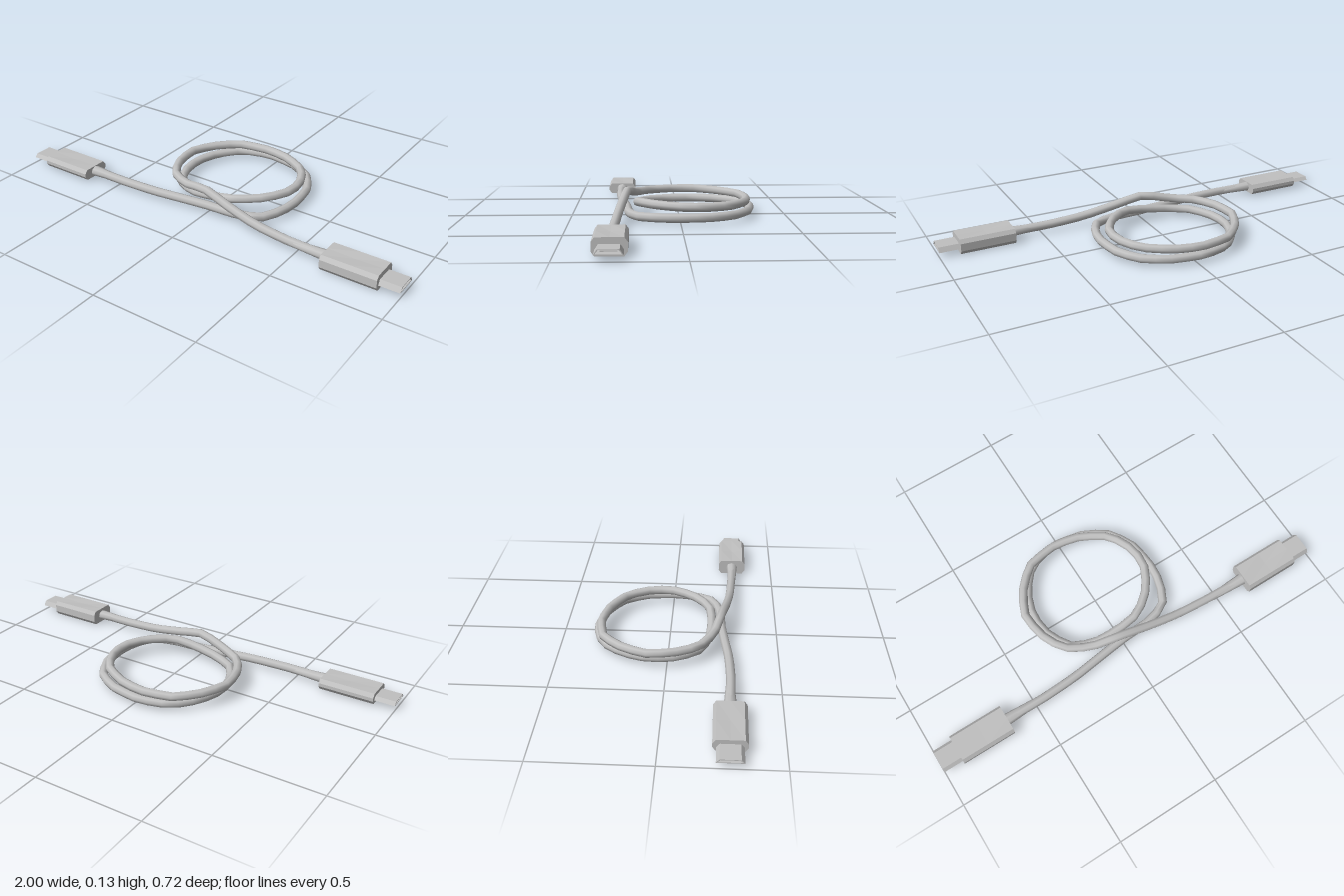
import * as THREE from 'three';

const cableGrey = new THREE.MeshStandardMaterial({ color: 0xc0c0c0 });
cableGrey.name = 'cable grey';

function add(parent, name, geometry) {
  const mesh = new THREE.Mesh(geometry, cableGrey);
  mesh.name = name;
  parent.add(mesh);
  return mesh;
}

// Chamfered grip lofted along x, with a shallow thumb dip halfway
function housingGeometry(length, height, width) {
  const h = height / 2, w = width / 2, cy = 0.018, cz = 0.013;
  const stations = [0, 0.5, 1];
  const section = [
    [h, 0], [h, w - cz], [h - cy, w], [cy - h, w], [-h, w - cz],
    [-h, 0], [-h, cz - w], [cy - h, -w], [h - cy, -w], [h, cz - w],
  ];
  const n = section.length, pos = [], index = [];
  stations.forEach((s) => section.forEach(([y, z]) => {
    const dip = s === 0.5 && z === 0 ? 0.9 : 1;
    pos.push(s * length, y * dip, z);
  }));
  for (let s = 0; s < stations.length - 1; s++) {
    for (let i = 0; i < n; i++) {
      const a = s * n + i, b = s * n + (i + 1) % n;
      index.push(a, b, a + n, b, b + n, a + n);
    }
  }
  // End caps
  const last = (stations.length - 1) * n;
  for (let i = 1; i < n - 1; i++) {
    index.push(0, i + 1, i, last, last + i, last + i + 1);
  }
  // Wind every face outwards from the middle
  const v = (i) => new THREE.Vector3().fromArray(pos, i * 3);
  const mid = new THREE.Vector3(length / 2, 0, 0);
  for (let i = 0; i < index.length; i += 3) {
    const [a, b, d] = [v(index[i]), v(index[i + 1]), v(index[i + 2])];
    const normal = b.clone().sub(a).cross(d.clone().sub(a));
    if (normal.dot(a.sub(mid)) < 0) [index[i + 1], index[i + 2]] = [index[i + 2], index[i + 1]];
  }
  const geo = new THREE.BufferGeometry();
  geo.setAttribute('position', new THREE.Float32BufferAttribute(pos, 3));
  geo.setIndex(index);
  const flat = geo.toNonIndexed();
  flat.computeVertexNormals();
  return flat;
}

function trapezoid(target, bottom, top, low, high) {
  target.moveTo(-bottom, low);
  target.lineTo(bottom, low);
  target.lineTo(top, high);
  target.lineTo(-top, high);
  target.closePath();
  return target;
}

// Plug pointing along +x, its cable entry at the origin
function createPlug(name, height, width, tip) {
  const plug = new THREE.Group();
  plug.name = name;
  add(plug, 'housing', housingGeometry(0.26, height, width));

  // Hollow metal tip
  const shape = trapezoid(new THREE.Shape(), 0.055, 0.041, -tip, tip);
  shape.holes.push(trapezoid(new THREE.Path(), 0.05, 0.037, 0.003 - tip, tip - 0.003));
  const shell = new THREE.ExtrudeGeometry(shape, { depth: 0.1, bevelEnabled: false });
  shell.rotateY(Math.PI / 2);
  add(plug, 'connectorShell', shell).position.x = 0.255;
  add(plug, 'connectorTongue', new THREE.BoxGeometry(0.075, 0.005, 0.064)).position.x = 0.295;

  // Flared strain relief
  const relief = new THREE.CylinderGeometry(0.017, 0.028, 0.18, 8, 1, true);
  relief.rotateZ(Math.PI / 2);
  relief.scale(1, 0.85, 1);
  add(plug, 'strainRelief', relief).position.x = -0.085;
  return plug;
}

// Cable centre line
const leftTail = [
  [-0.65, 0.035, 0.28], [-0.45, 0.036, 0.283], [-0.28, 0.036, 0.275], [-0.13, 0.036, 0.256],
];
const lowerLoop = [
  [0, 0.036, 0.24], [0.14, 0.036, 0.232], [0.25, 0.036, 0.2], [0.302, 0.036, 0.1],
  [0.315, 0.036, 0], [0.3, 0.036, -0.13], [0.24, 0.036, -0.24], [0.13, 0.036, -0.31],
  [-0.03, 0.036, -0.338], [-0.17, 0.036, -0.3], [-0.255, 0.036, -0.2],
  [-0.295, 0.036, -0.08], [-0.28, 0.036, 0.04], [-0.22, 0.038, 0.14], [-0.12, 0.045, 0.185],
];
const upperLoop = [
  [0, 0.062, 0.195], [0.12, 0.078, 0.18], [0.22, 0.08, 0.1], [0.275, 0.079, 0],
  [0.278, 0.077, -0.1], [0.22, 0.075, -0.22], [0.1, 0.072, -0.295], [-0.03, 0.07, -0.322],
  [-0.18, 0.072, -0.295], [-0.275, 0.075, -0.2], [-0.328, 0.078, -0.09],
  [-0.315, 0.08, 0.03], [-0.26, 0.081, 0.14],
];
const rightTail = [
  [-0.15, 0.087, 0.205], [-0.01, 0.114, 0.24], [0.14, 0.08, 0.262],
  [0.29, 0.05, 0.278], [0.46, 0.037, 0.287], [0.65, 0.036, 0.292],
];

export function createModel() {
  const model = new THREE.Group();
  model.name = 'coiledCable';

  const points = [...leftTail, ...lowerLoop, ...upperLoop, ...rightTail]
    .map((p) => new THREE.Vector3(...p));
  const curve = new THREE.CatmullRomCurve3(points, false, 'catmullrom', 0.25);
  add(model, 'cable', new THREE.TubeGeometry(curve, 76, 0.0205, 8, false));

  // Plugs at both ends
  const left = createPlug('leftPlug', 0.072, 0.137, 0.011);
  left.position.set(0.645, 0.036, 0.291);
  const right = createPlug('rightPlug', 0.052, 0.14, 0.008);
  right.position.set(-0.645, 0.035, 0.28);
  right.rotation.y = Math.PI;
  model.add(left, right);
  return model;
}
